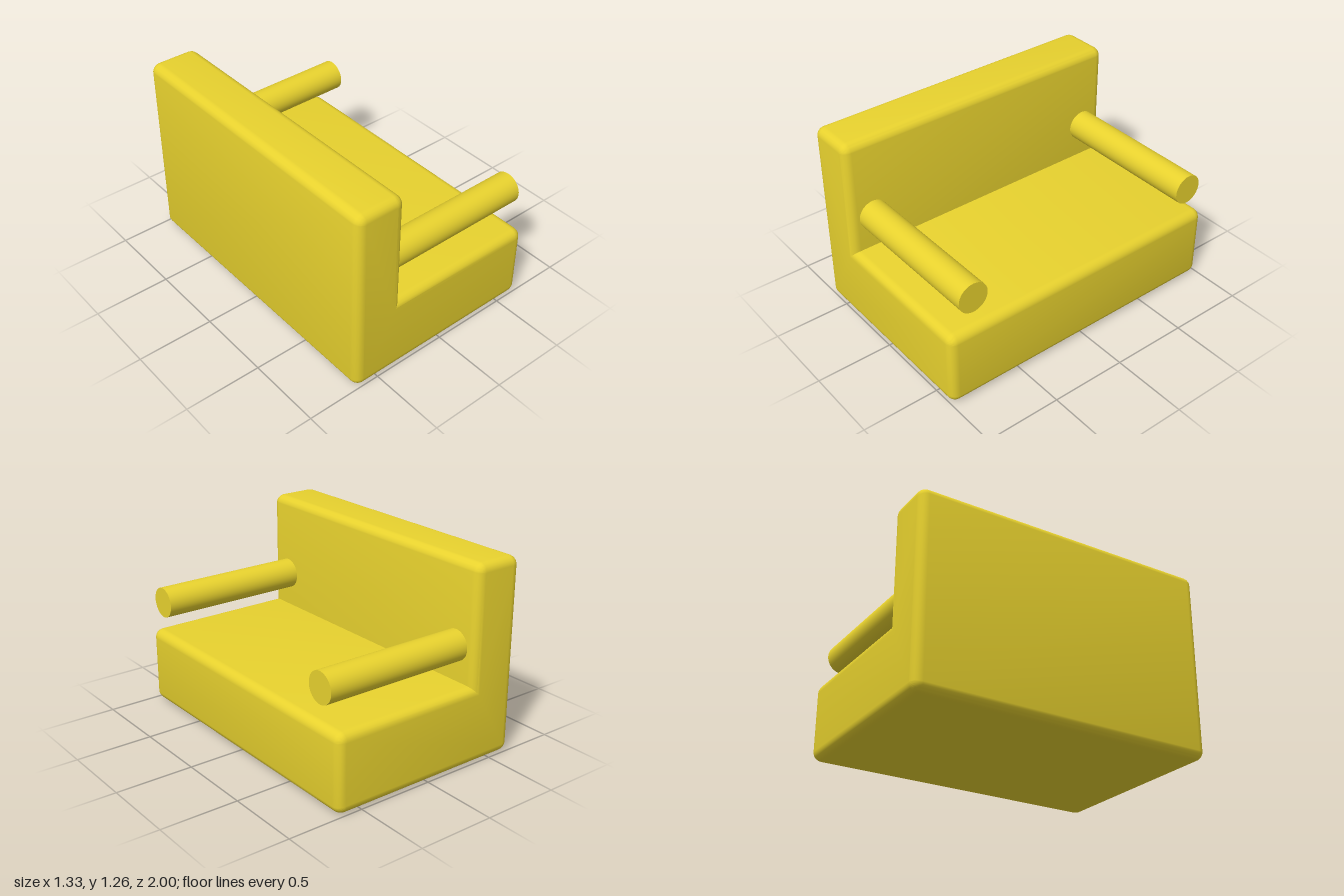
import * as THREE from 'three';
import { toCreasedNormals } from 'three/addons/utils/BufferGeometryUtils.js';

const yellow = new THREE.MeshStandardMaterial({ color: 0xe8d22e });

// L-shaped outline (seat plus backrest), inset by `b`, tiny arcs on the convex corners
function sofaOutline(b, e) {
  const left = -0.667 + b, right = 0.667 - b, inner = -0.335 - b;
  const bottom = b, seat = 0.503 - b, top = 1.26 - b;
  const q = Math.PI / 2;
  const s = new THREE.Shape();
  s.moveTo(left + e, bottom);
  s.absarc(right - e, bottom + e, e, -q, 0);
  s.absarc(right - e, seat - e, e, 0, q);
  s.lineTo(inner, seat);
  s.absarc(inner - e, top - e, e, 0, q);
  s.absarc(left + e, top - e, e, q, 2 * q);
  s.absarc(left + e, bottom + e, e, 2 * q, 3 * q);
  return s;
}

export function createModel() {
  const model = new THREE.Group();
  model.name = 'sofa';

  // Seat and backrest in one body with rounded edges
  const bevel = 0.055;
  const body = new THREE.ExtrudeGeometry(sofaOutline(bevel, 0.005), {
    depth: 2 - 2 * bevel, curveSegments: 5,
    bevelEnabled: true, bevelSize: bevel, bevelThickness: bevel, bevelSegments: 5,
  });
  body.translate(0, 0, bevel - 1);
  const bodyMesh = new THREE.Mesh(toCreasedNormals(body, 0.6), yellow);
  bodyMesh.name = 'seatAndBackrest';
  model.add(bodyMesh);

  // Round armrests reaching forward from the backrest
  const start = -0.36, end = 0.667;
  const arm = new THREE.CylinderGeometry(0.099, 0.099, end - start, 48);
  arm.rotateZ(-Math.PI / 2);
  for (const side of [-1, 1]) {
    const mesh = new THREE.Mesh(arm, yellow);
    mesh.name = side > 0 ? 'frontArmrest' : 'backArmrest';
    mesh.position.set((start + end) / 2, 0.731, side * 0.835);
    model.add(mesh);
  }
  return model;
}
